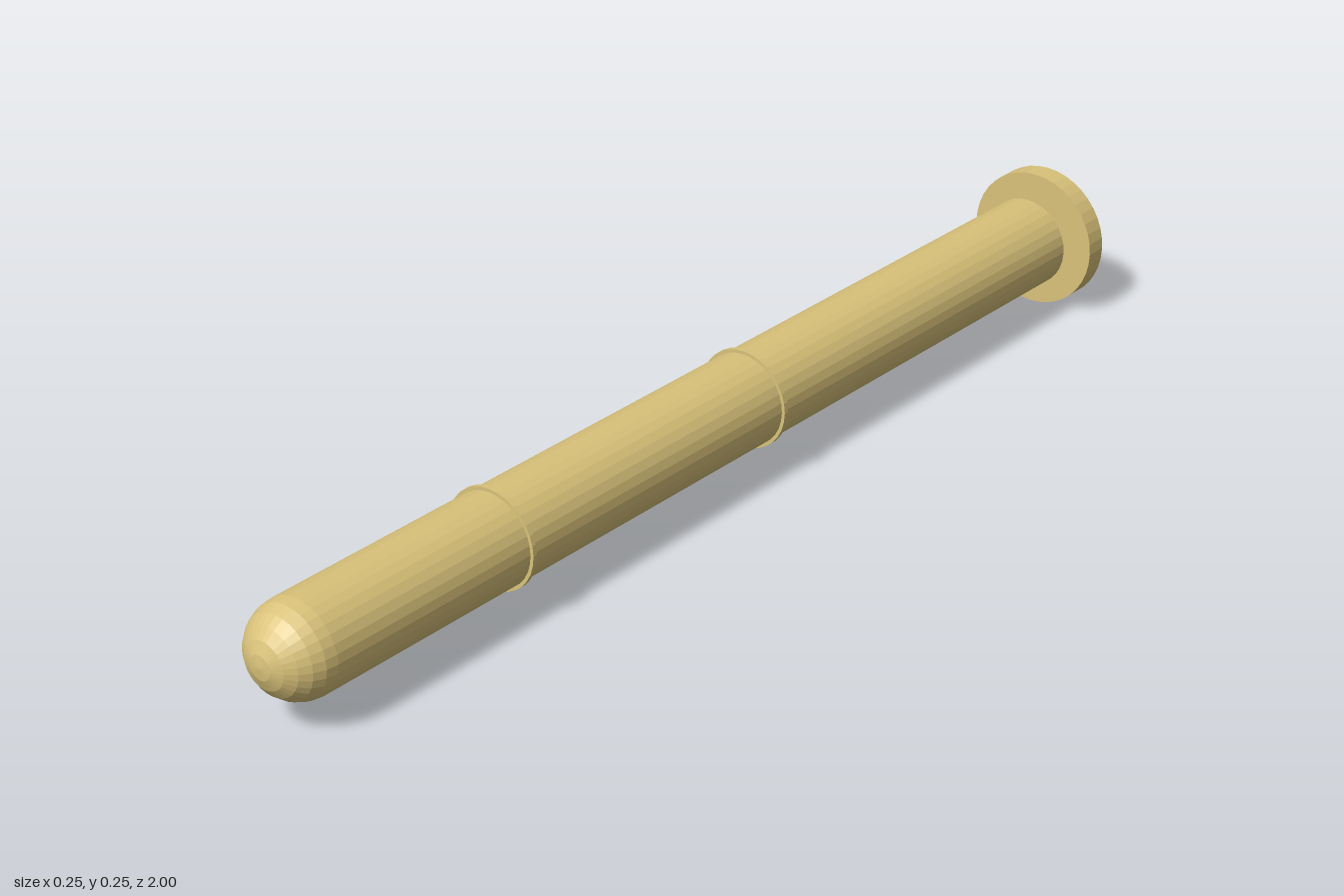
import * as THREE from 'three';

const AXIS_Y = 0.124;
const BODY_R = 0.081;
const SIDES = 32;

export function createModel() {
  const group = new THREE.Group();
  const material = new THREE.MeshStandardMaterial({ color: 0xd9c27a, flatShading: true });

  // Adds a part whose own y axis is laid along z
  const add = (name, geometry, z) => {
    geometry.rotateX(Math.PI / 2);
    const mesh = new THREE.Mesh(geometry, material);
    mesh.name = name;
    mesh.position.set(0, AXIS_Y, z);
    group.add(mesh);
  };
  const rod = (name, radius, z0, z1, sides = SIDES) =>
    add(name, new THREE.CylinderGeometry(radius, radius, z1 - z0, sides), (z0 + z1) / 2);

  // Long shaft with a rounded front end
  rod('shaft', BODY_R, -0.94, 0.919);
  add('roundedTip', new THREE.SphereGeometry(BODY_R, SIDES, 6, 0, Math.PI * 2, 0, Math.PI / 2), 0.919);

  // Thin raised bands around the shaft
  rod('frontBand', 0.087, 0.496, 0.504);
  rod('middleBand', 0.087, -0.124, -0.116);

  // Narrow neck and wide end disc at the back
  rod('neck', 0.013, -0.965, -0.935, 16);
  rod('endDisc', 0.124, -1, -0.96, 40);

  return group;
}
